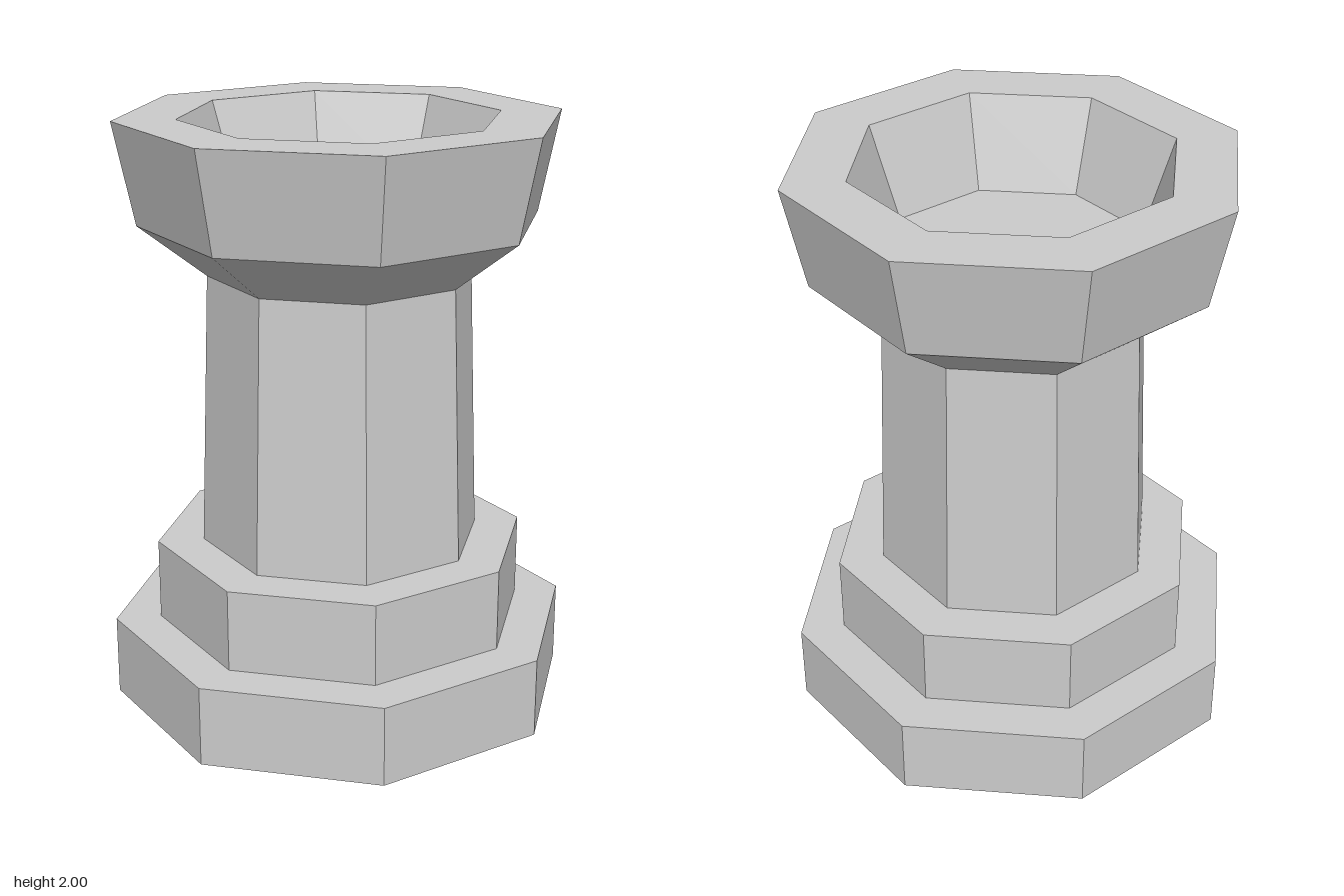
import * as THREE from 'three';

const SIDES = 8;

// Octagonal ring surface turned from [radius, height] pairs, listed from bottom outside to top inside
function turned(name, profile, material) {
  const points = profile.map(([r, y]) => new THREE.Vector2(r, y));
  const geometry = new THREE.LatheGeometry(points, SIDES).toNonIndexed();
  geometry.computeVertexNormals(); // flat facets
  const mesh = new THREE.Mesh(geometry, material);
  mesh.name = name;
  return mesh;
}

export function createModel() {
  const model = new THREE.Group();
  model.name = 'rookTower';

  const stone = new THREE.MeshStandardMaterial({ color: 0xcccccc });
  stone.name = 'light grey stone';

  model.add(
    // Wide foot with closed underside
    turned('base', [[0, 0], [0.79, 0], [0.79, 0.275], [0.636, 0.275]], stone),
    // Narrower second step
    turned('baseStep', [[0.636, 0.275], [0.636, 0.555], [0.48, 0.555]], stone),
    // Slightly tapering shaft
    turned('column', [[0.48, 0.555], [0.446, 1.485]], stone),
    // Flared head: underside, outer wall and flat rim
    turned('head', [[0.446, 1.485], [0.67, 1.66], [0.74, 2], [0.533, 2]], stone),
    // Hollow in the top
    turned('bowl', [[0.533, 2], [0.43, 1.69], [0, 1.69]], stone)
  );

  return model;
}
